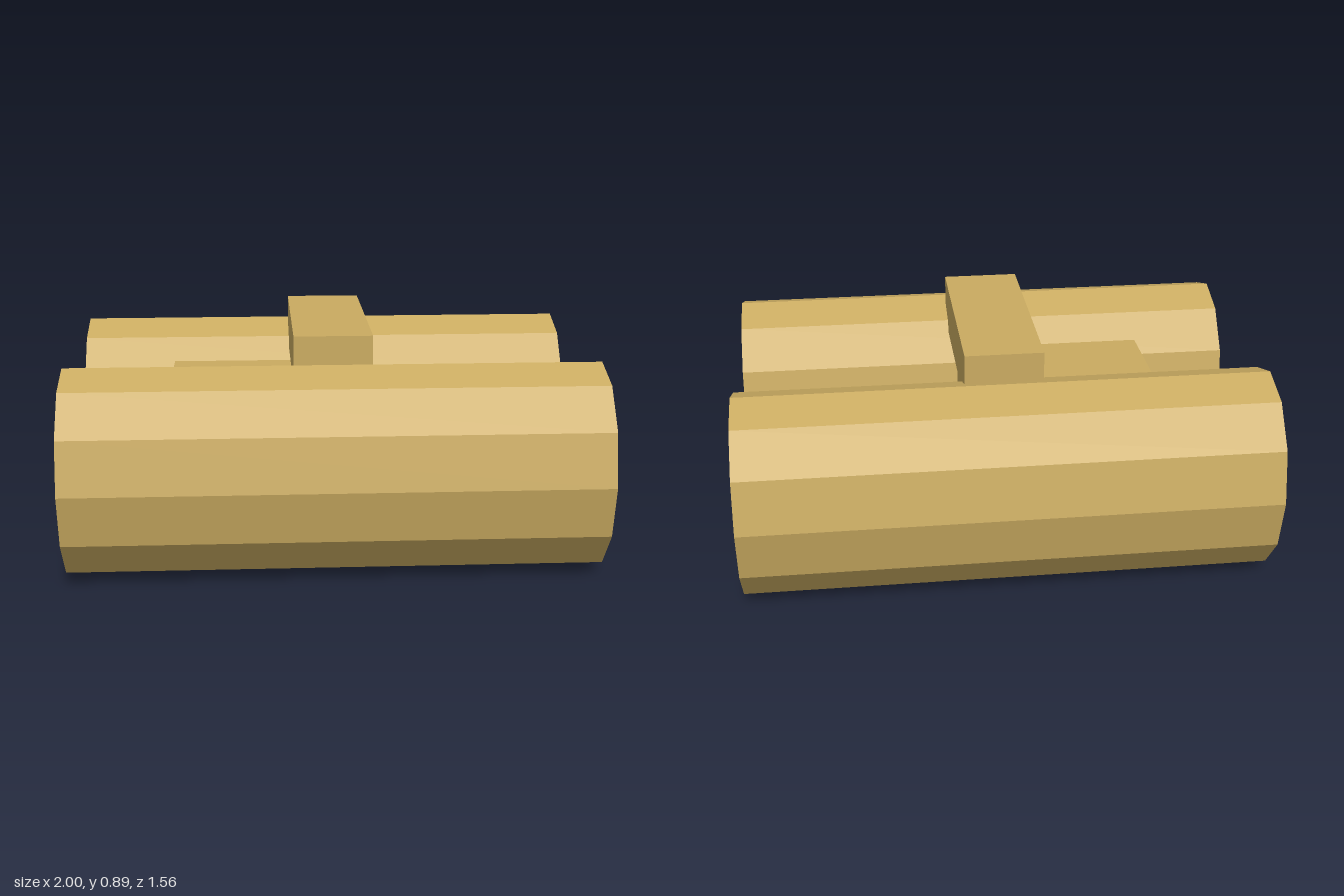
import * as THREE from 'three';

export function createModel() {
  const group = new THREE.Group();
  const tan = new THREE.MeshStandardMaterial({ color: 0xcaab61, flatShading: true });
  tan.name = 'tan';

  function add(name, geometry, x, y, z) {
    const mesh = new THREE.Mesh(geometry, tan);
    mesh.name = name;
    mesh.position.set(x, y, z);
    group.add(mesh);
  }

  // Two twelve-sided barrels lying along x, taller than they are deep
  const barrel = new THREE.CylinderGeometry(1, 1, 2, 12);
  barrel.rotateZ(Math.PI / 2);
  barrel.scale(1, 0.395, 0.315);
  add('frontBarrel', barrel, 0, 0.397, 0.463);
  add('backBarrel', barrel, 0, 0.397, -0.463);

  // Block between the barrels, set towards the model's right
  add('centreBlock', new THREE.BoxGeometry(0.745, 0.525, 0.372), -0.253, 0.4, 0);

  // Bridge bar across the top
  add('bridgeBar', new THREE.BoxGeometry(0.296, 0.195, 0.832), -0.002, 0.793, 0);

  return group;
}
